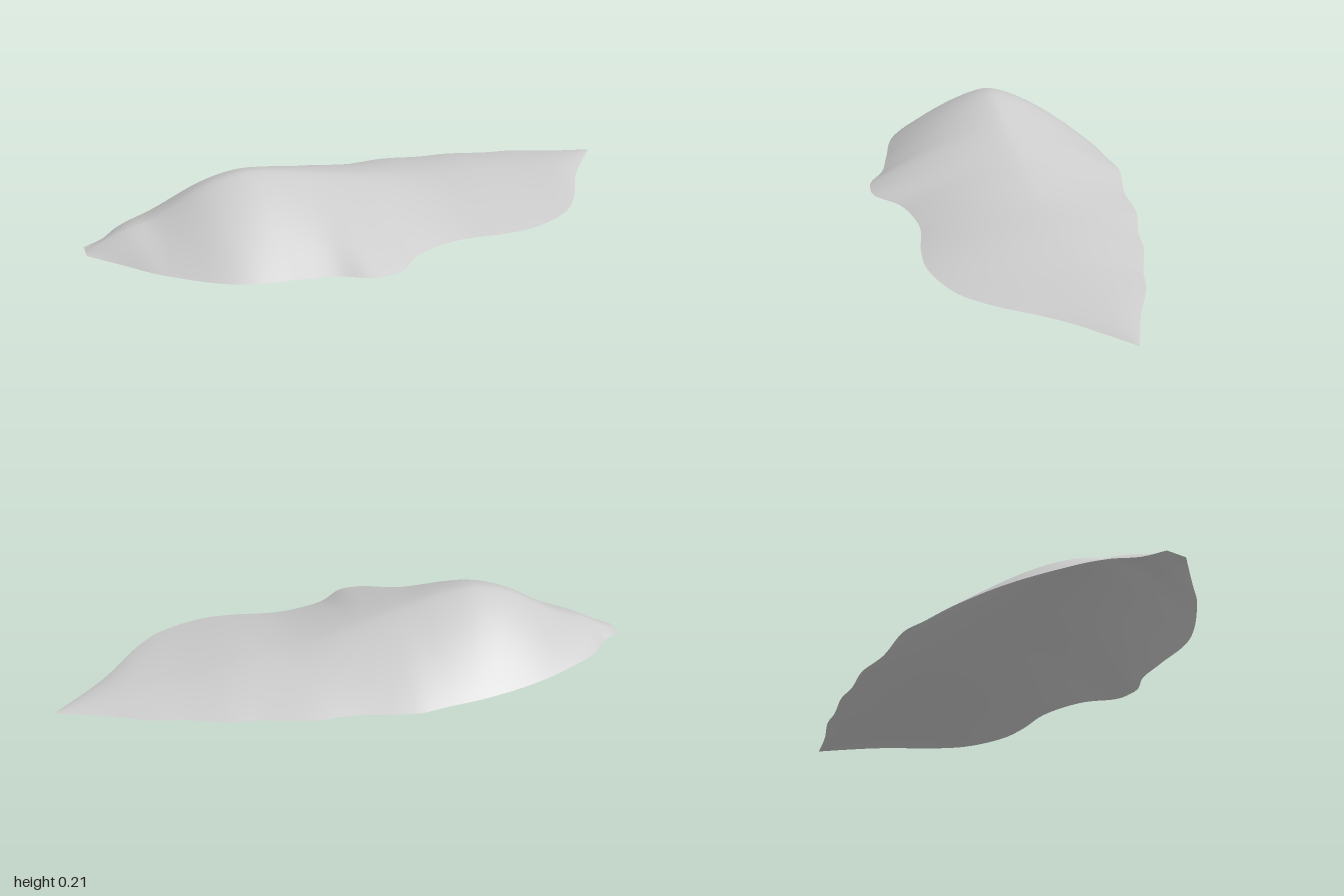
import * as THREE from 'three';

// Smooth curve through [x, value] points (cubic Hermite, uneven spacing)
function curveThrough(p) {
  const slope = i => {
    const a = p[Math.max(i - 1, 0)], b = p[Math.min(i + 1, p.length - 1)];
    return (b[1] - a[1]) / (b[0] - a[0]);
  };
  return x => {
    let i = 0;
    while (i < p.length - 2 && x > p[i + 1][0]) i++;
    const h = p[i + 1][0] - p[i][0], t = (x - p[i][0]) / h, t2 = t * t, t3 = t2 * t;
    return (2 * t3 - 3 * t2 + 1) * p[i][1] + (t3 - 2 * t2 + t) * h * slope(i)
      + (3 * t2 - 2 * t3) * p[i + 1][1] + (t3 - t2) * h * slope(i + 1);
  };
}

// Shoreline behind and in front, crest height and crest line
const backEdge = curveThrough([[-1, -0.1], [-0.93, -0.14], [-0.88, -0.2], [-0.8, -0.26], [-0.6, -0.36],
  [-0.4, -0.42], [-0.25, -0.445], [-0.15, -0.462], [0.05, -0.43], [0.2, -0.43], [0.35, -0.395],
  [0.45, -0.385], [0.6, -0.34], [0.7, -0.32], [0.85, -0.26], [1, -0.215]]);
const frontEdge = curveThrough([[-1, -0.03], [-0.9, 0.08], [-0.8, 0.19], [-0.6, 0.335], [-0.4, 0.38],
  [-0.28, 0.405], [-0.2, 0.45], [-0.15, 0.458], [-0.08, 0.445], [0, 0.37], [0.1, 0.33], [0.2, 0.315],
  [0.35, 0.33], [0.48, 0.32], [0.63, 0.25], [0.72, 0.15], [0.8, 0.02], [0.85, -0.05], [0.92, -0.13], [1, -0.215]]);
const crestHeight = curveThrough([[-1, 0], [-0.87, 0.06], [-0.77, 0.09], [-0.6, 0.18], [-0.47, 0.212],
  [-0.35, 0.2], [-0.2, 0.165], [0, 0.115], [0.2, 0.072], [0.4, 0.053], [0.6, 0.03], [0.8, 0.016], [1, 0]]);
const crestLine = curveThrough([[-1, -0.065], [-0.8, -0.05], [-0.47, -0.03], [-0.2, -0.04], [0.1, -0.07],
  [0.4, -0.09], [0.7, -0.11], [0.85, -0.16], [1, -0.215]]);

export function createModel() {
  const group = new THREE.Group();
  const stone = new THREE.MeshStandardMaterial({ color: 0xcccccc, side: THREE.DoubleSide });
  stone.name = 'pale grey';

  // Open hill shell: each cross-section falls from the crest to both edges
  const nx = 120, nz = 48;
  const geometry = new THREE.PlaneGeometry(1, 1, nx, nz);
  const pos = geometry.attributes.position;
  for (let j = 0; j <= nz; j++) {
    for (let i = 0; i <= nx; i++) {
      const x = -1 + 2 * i / nx, s = -1 + 2 * j / nz, d = Math.abs(s);
      const crest = crestLine(x), edge = s < 0 ? backEdge(x) : frontEdge(x);
      // Rounded ridge on the high side, flatter dome on the low side
      const power = 1.5 + 0.5 * THREE.MathUtils.smoothstep(x, -0.2, 0.5);
      const y = Math.max(0, crestHeight(x)) * (1 - Math.pow(d, power));
      pos.setXYZ(j * (nx + 1) + i, x, y, crest + (edge - crest) * d);
    }
  }
  geometry.computeVertexNormals();

  const hill = new THREE.Mesh(geometry, stone);
  hill.name = 'hillSurface';
  group.add(hill);
  return group;
}
